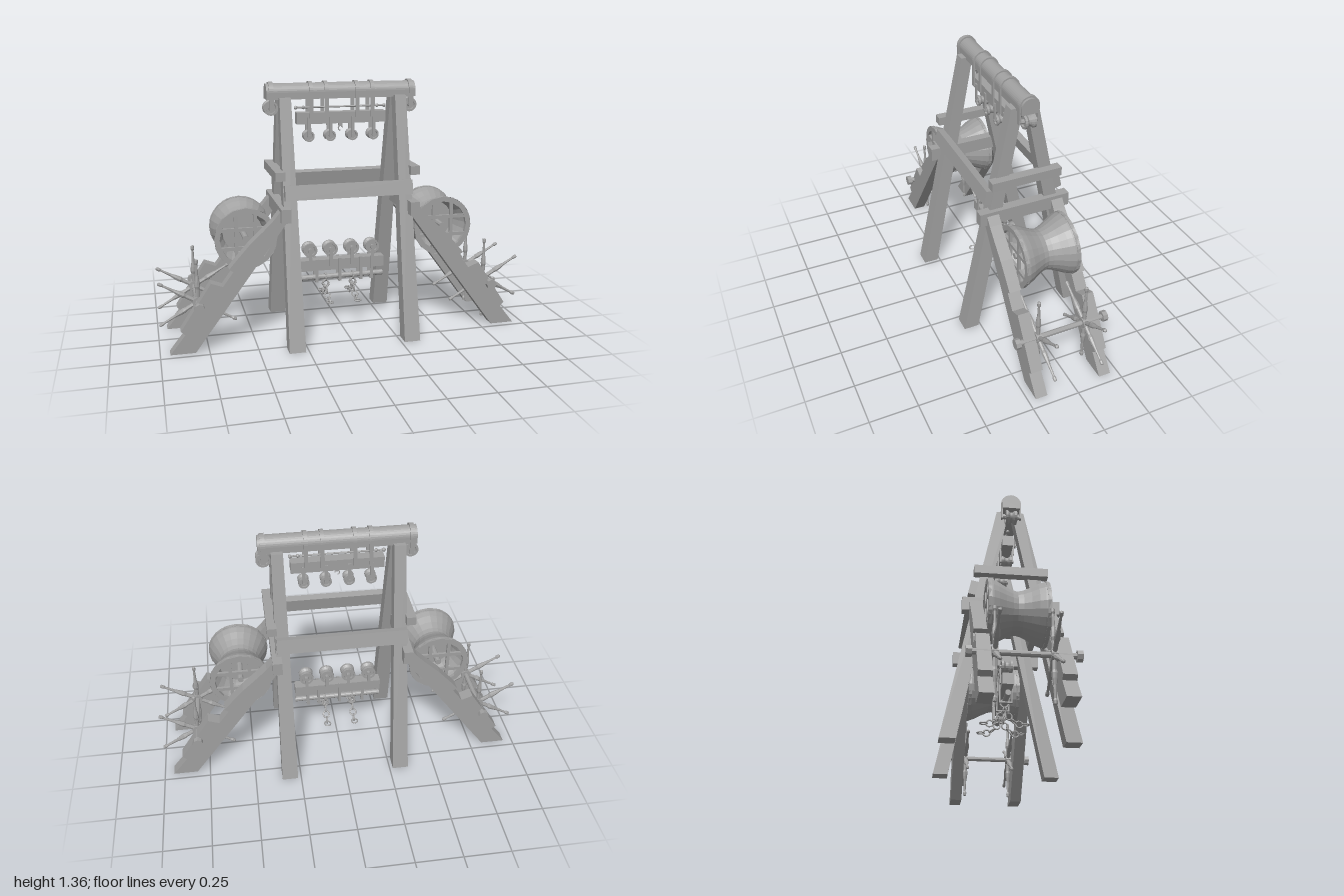
import * as THREE from 'three';

const mat = new THREE.MeshStandardMaterial({ color: 0xa0a0a0, flatShading: true });
const thin = new THREE.MeshStandardMaterial({ color: 0xa0a0a0, flatShading: true, side: THREE.DoubleSide });

function add(parent, name, geo, x = 0, y = 0, z = 0, material = mat) {
  const m = new THREE.Mesh(geo, material);
  m.name = name;
  m.position.set(x, y, z);
  parent.add(m);
  return m;
}
const box = (w, h, d) => new THREE.BoxGeometry(w, h, d);
const rodX = (r, len, n = 10) => new THREE.CylinderGeometry(r, r, len, n).rotateZ(Math.PI / 2);
const rodZ = (r, len, n = 10) => new THREE.CylinderGeometry(r, r, len, n).rotateX(Math.PI / 2);
const latheZ = (pts, n) => new THREE.LatheGeometry(pts.map(p => new THREE.Vector2(...p)), n).rotateX(Math.PI / 2);

// Extrudes a shape by depth, centred on z = 0
function plate(shape, depth) {
  return new THREE.ExtrudeGeometry(shape, { depth, bevelEnabled: false, curveSegments: 8 }).translate(0, 0, -depth / 2);
}

// Leaning, tapering leg: [x0, x1, z0, z1] at the bottom and at the top
function legGeometry(bottom, top, height) {
  const g = box(1, 1, 1), p = g.attributes.position;
  for (let i = 0; i < p.count; i++) {
    const c = p.getY(i) > 0 ? top : bottom;
    p.setXYZ(i, p.getX(i) < 0 ? c[0] : c[1], p.getY(i) > 0 ? height : 0, p.getZ(i) < 0 ? c[2] : c[3]);
  }
  g.computeVertexNormals();
  return g;
}

// Arch-shaped outline, round at the top
function archShape(r, cy, low) {
  const shape = new THREE.Shape();
  shape.moveTo(-r, low);
  shape.lineTo(r, low);
  shape.lineTo(r, cy);
  shape.absarc(0, cy, r, 0, Math.PI, false);
  shape.lineTo(-r, low);
  return shape;
}

// Strap bent over the ridge beam and hanging down on both sides
function strapGeometry(low, width) {
  const s = new THREE.Shape();
  s.moveTo(0.053, low);
  s.lineTo(0.053, 1.306);
  s.absarc(0, 1.306, 0.053, 0, Math.PI, false);
  s.lineTo(-0.053, low);
  s.lineTo(-0.045, low);
  s.lineTo(-0.045, 1.306);
  s.absarc(0, 1.306, 0.045, Math.PI, 0, true);
  s.lineTo(0.045, low);
  return plate(s, width).rotateY(Math.PI / 2);
}

// Grooved pulley with dished faces, turning on a pin along z
function pulley(parent, name, x, y, r) {
  const g = new THREE.Group();
  g.name = name;
  g.position.set(x, y, 0);
  const w = 0.029;
  const half = [[0, 0.7 * w], [0.66 * r, 0.7 * w], [0.7 * r, w], [r, w], [r, 0.6 * w], [0.72 * r, 0.2 * w]];
  const profile = [...half.map(([a, z]) => [a, -z]), ...half.reverse()];
  add(g, 'sheave', latheZ(profile, 18));
  add(g, 'pin', rodZ(r * 0.32, 0.076, 8));
  parent.add(g);
}

// Wooden bar carrying four pulleys, with cheek straps
function pulleyBlock(parent, name, y, pulleyY, r) {
  const g = new THREE.Group();
  g.name = name;
  add(g, 'blockBar', box(0.48, 0.06, 0.058), 0, y, 0);
  const lo = Math.min(y, pulleyY), hi = Math.max(y, pulleyY);
  for (const x of [-0.175, -0.06, 0.06, 0.175]) {
    pulley(g, 'blockPulley', x, pulleyY, r);
    for (const z of [-0.032, 0.032]) add(g, 'cheekStrap', box(0.018, hi - lo + 0.01, 0.007), x, (lo + hi) / 2, z);
  }
  parent.add(g);
}

// Hollow hourglass drum with barred ends
function drum(parent, x, y) {
  const g = new THREE.Group();
  g.name = 'ropeDrum';
  g.position.set(x, y, 0);
  const R = 0.163;
  const half = [[0.106, 0], [0.112, 0.025], [0.128, 0.06], [0.147, 0.095], [0.158, 0.122], [R, 0.147]];
  const profile = [...half.slice(1).reverse().map(([r, z]) => [r, -z]), ...half];
  add(g, 'drumBarrel', latheZ(profile, 24), 0, 0, 0, thin);
  add(g, 'drumWeb', rodZ(0.106, 0.01, 24));
  add(g, 'drumAxle', rodZ(0.016, 0.28));
  for (const z of [-0.139, 0.139]) {
    const rim = new THREE.Shape().absarc(0, 0, R, 0, Math.PI * 2, false);
    rim.holes.push(new THREE.Path().absarc(0, 0, 0.136, 0, Math.PI * 2, true));
    add(g, 'drumRim', plate(rim, 0.018), 0, 0, z);
    for (const d of [-0.05, 0.05]) {
      add(g, 'drumCrossbar', box(0.27, 0.018, 0.014), 0, d, z);
      add(g, 'drumUpright', box(0.018, 0.27, 0.014), d, 0, z);
    }
  }
  parent.add(g);
}

// Star of six turned handles
function handWheel(parent, x, y, z) {
  const g = new THREE.Group();
  g.name = 'handWheel';
  g.position.set(x, y, z);
  add(g, 'wheelHub', rodZ(0.028, 0.03, 12));
  const spoke = [[0, 0], [0.011, 0.01], [0.011, 0.07], [0.015, 0.085], [0.013, 0.11], [0.008, 0.14],
    [0.006, 0.2], [0.01, 0.21], [0.009, 0.226], [0, 0.231]].map(p => new THREE.Vector2(...p));
  for (let i = 0; i < 6; i++) add(g, 'handle', new THREE.LatheGeometry(spoke, 8)).rotation.z = i * Math.PI / 3;
  parent.add(g);
}

// Sloping winch ramp on the right (-x) side
function winch() {
  const g = new THREE.Group();
  g.name = 'winchSide';
  const outline = [[-0.95, 0], [-0.82, 0], [-0.32, 0.68], [-0.36, 0.73], [-0.4, 0.68], [-0.45, 0.63], [-0.53, 0.555],
    [-0.6, 0.477], [-0.636, 0.435], [-0.615, 0.42], [-0.67, 0.345], [-0.73, 0.368], [-0.892, 0.122], [-0.87, 0.102]];
  const rail = new THREE.Shape(outline.map(p => new THREE.Vector2(...p)));
  for (const s of [-1, 1]) {
    add(g, 'slopingRail', plate(rail, 0.064), 0, 0, s * 0.179);
    handWheel(g, -0.795, 0.248, s * 0.13);
    add(g, 'axleCap', rodZ(0.028, 0.026, 8), -0.795, 0.248, s * 0.243);
  }
  add(g, 'wheelAxle', rodZ(0.014, 0.49), -0.795, 0.248, 0);
  drum(g, -0.537, 0.572);
  add(g, 'railCrossbeam', box(0.05, 0.072, 0.496), -0.343, 0.703, 0);
  add(g, 'legCrossbeam', box(0.05, 0.046, 0.38), -0.36, 0.896, 0);
  return g;
}

export function createModel() {
  const root = new THREE.Group();
  root.name = 'hoistFrame';

  // A-frame legs and the long beams leaning against them
  for (const s of [-1, 1]) {
    for (const t of [-1, 1]) {
      const side = ([a, b, c, d]) => [...(s > 0 ? [a, b] : [-b, -a]), ...(t > 0 ? [c, d] : [-d, -c])];
      add(root, 'leg', legGeometry(side([0.268, 0.354, 0.262, 0.342]), side([0.278, 0.338, 0.008, 0.072]), 1.28));
    }
    add(root, 'longBeam', box(0.68, 0.078, 0.04), 0, 0.81, s * 0.19).rotation.x = -s * 0.208;
  }

  // Ridge beam and its straps
  add(root, 'ridgeBeam', plate(archShape(0.046, 1.305, 1.27), 0.8).rotateY(Math.PI / 2));
  for (const x of [-0.167, -0.085, 0.08, 0.163]) add(root, 'ridgeStrap', strapGeometry(1.17, 0.02), x);
  for (const x of [-0.375, 0.375]) {
    add(root, 'endStrap', strapGeometry(1.215, 0.024), x);
    pulley(root, 'endPulley', x, 1.225, 0.038);
    for (const z of [-0.042, 0.042]) add(root, 'endPulleyPin', rodZ(0.009, 0.02, 8), x, 1.225, z);
  }

  // Upper block with a thin rod above and a small hook below
  pulleyBlock(root, 'upperBlock', 1.167, 1.072, 0.029);
  add(root, 'thinRod', rodX(0.005, 0.48, 8), 0, 1.222, 0);
  for (const x of [-0.24, -0.2, 0.2, 0.24]) add(root, 'rodKnob', new THREE.SphereGeometry(0.01, 8, 6), x, 1.222, 0);
  add(root, 'hookShank', box(0.02, 0.02, 0.02), 0, 1.13, 0);
  add(root, 'hook', new THREE.TorusGeometry(0.012, 0.003, 6, 12, 4.7), 0, 1.108, 0);

  // Lower block with its hanging rod
  pulleyBlock(root, 'lowerBlock', 0.36, 0.447, 0.039);
  add(root, 'hangingRod', rodX(0.015, 0.48, 12), 0, 0.285, 0);
  for (const x of [-0.14, -0.01, 0.11, 0.17]) {
    for (const z of [-0.031, 0.031]) add(root, 'rodStrap', box(0.016, 0.13, 0.007), x, 0.33, z);
    add(root, 'rodStrapBase', box(0.016, 0.008, 0.069), x, 0.268, 0);
  }

  // Chains hanging from the rod, spreading to front and back
  const path = [[0.008, 0.245], [0.022, 0.213], [0.046, 0.187], [0.076, 0.172], [0.107, 0.172]];
  for (const x of [-0.085, 0.07]) {
    add(root, 'chainRing', new THREE.TorusGeometry(0.021, 0.005, 6, 14).rotateY(Math.PI / 2), x, 0.282, 0);
    for (const s of [-1, 1]) {
      path.forEach(([z, y], i) => {
        const link = add(root, 'chainLink', new THREE.TorusGeometry(0.017, 0.004, 6, 12).scale(1, 1.1, 1), x, y, s * z);
        // Turn each link along the chain, every second one on edge
        link.rotation.x = -s * (0.25 + i * 0.33);
        if (i % 2) link.rotation.y = Math.PI / 2;
      });
    }
  }

  // Winch ramps on both sides
  const left = winch();
  left.rotation.y = Math.PI;
  root.add(winch(), left);
  return root;
}
